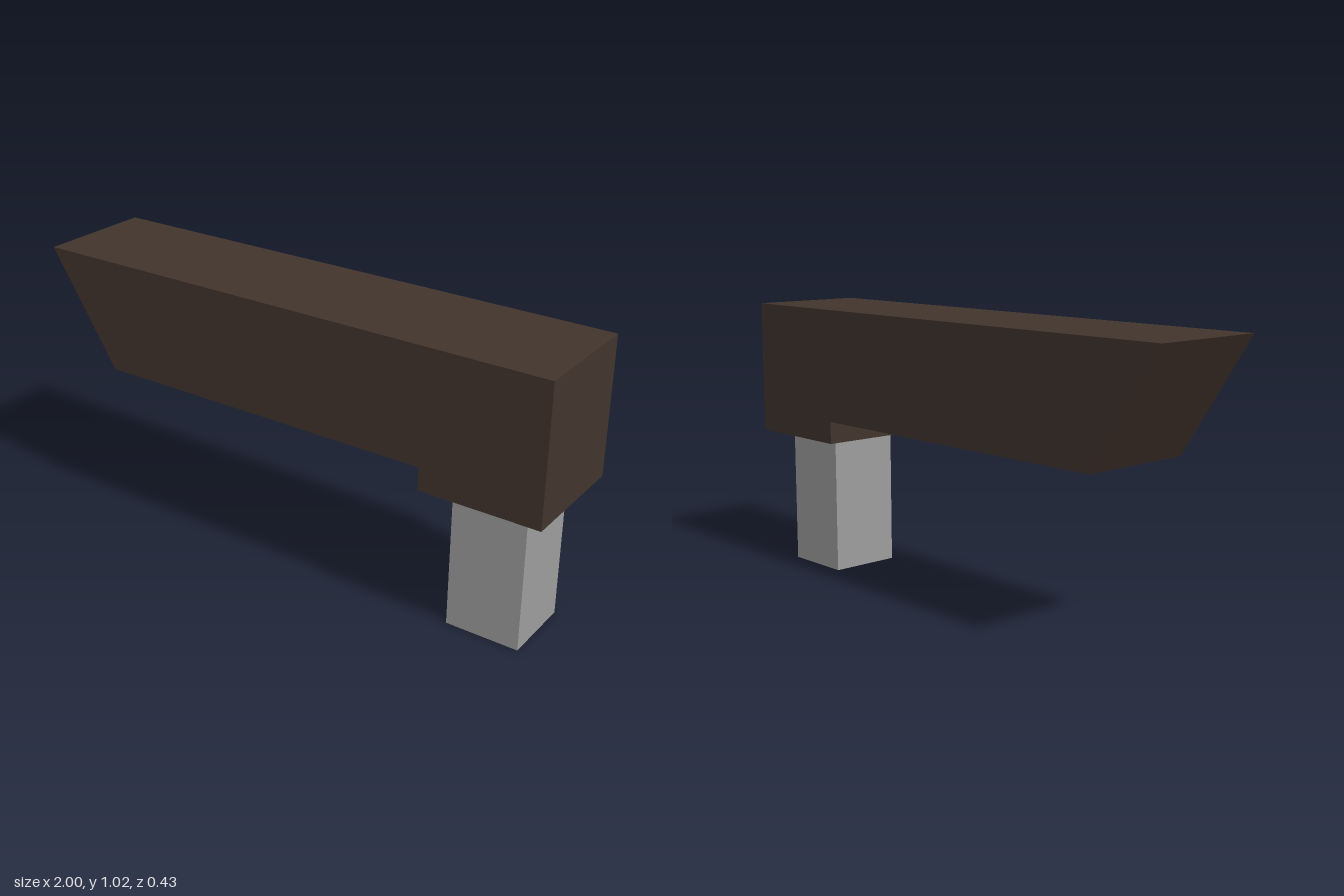
import * as THREE from 'three';

export function createModel() {
  const group = new THREE.Group();
  const brown = new THREE.MeshStandardMaterial({ color: 0x42342d, flatShading: true });
  brown.name = 'dark brown';
  const grey = new THREE.MeshStandardMaterial({ color: 0x9d9d9d, flatShading: true, side: THREE.DoubleSide });
  grey.name = 'grey';

  const top = 1.016, underside = 0.602, headBottom = 0.519, halfDepth = 0.216;
  const postX = 0.782, postHalf = 0.134;

  // Beam: slanted tip on one end, deeper square head on the other
  const profile = new THREE.Shape([
    [-1, top], [-0.734, underside], [0.565, underside],
    [0.565, headBottom], [1, headBottom], [1, top],
  ].map(([x, y]) => new THREE.Vector2(x, y)));
  const beamGeometry = new THREE.ExtrudeGeometry(profile, { depth: 2 * halfDepth, bevelEnabled: false });
  beamGeometry.translate(0, 0, -halfDepth);
  const beam = new THREE.Mesh(beamGeometry, brown);
  beam.name = 'beam';

  // Post: hollow square tube, open at the foot
  const radius = postHalf * Math.SQRT2;
  const postGeometry = new THREE.CylinderGeometry(radius, radius, headBottom, 4, 1, true);
  postGeometry.rotateY(Math.PI / 4);
  const post = new THREE.Mesh(postGeometry, grey);
  post.name = 'post';
  post.position.set(postX, headBottom / 2, 0);

  group.add(beam, post);
  return group;
}
